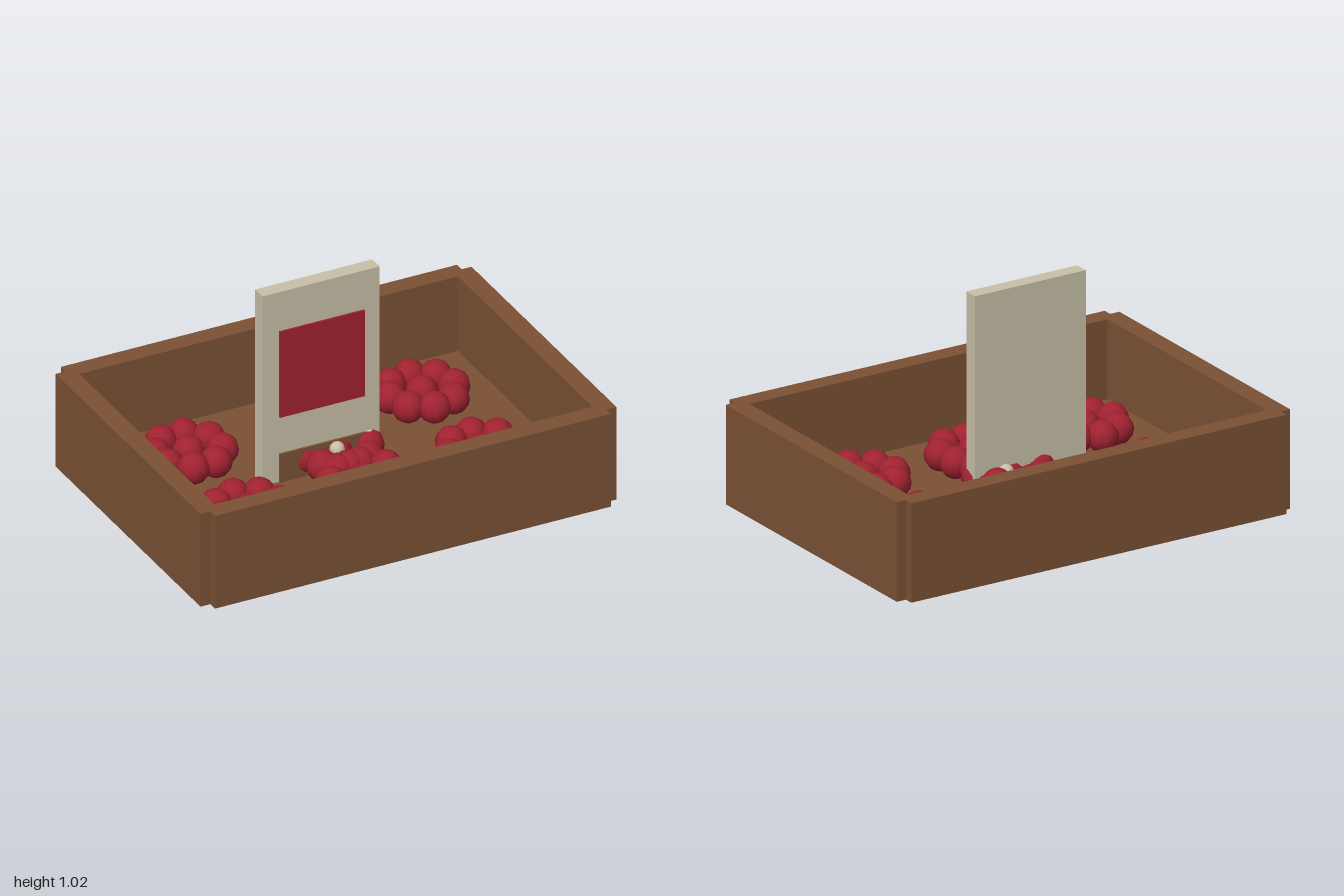
import * as THREE from 'three';

const mat = (name, color) => {
  const m = new THREE.MeshStandardMaterial({ color });
  m.name = name;
  return m;
};

export function createModel() {
  const wood = mat('brown wood', 0x7b5134);
  const red = mat('berry red', 0xa02230);
  const cream = mat('cream', 0xc9c0a9);
  const model = new THREE.Group();
  model.name = 'planterCrate';

  // Box given by its minimum and maximum corners
  const box = (name, material, [x0, y0, z0], [x1, y1, z1], parent = model) => {
    const mesh = new THREE.Mesh(new THREE.BoxGeometry(x1 - x0, y1 - y0, z1 - z0), material);
    mesh.position.set((x0 + x1) / 2, (y0 + y1) / 2, (z0 + z1) / 2);
    mesh.name = name;
    parent.add(mesh);
  };

  // Crate: floor and four walls, with notched corners
  const crate = new THREE.Group();
  crate.name = 'crate';
  model.add(crate);
  const height = 0.457;
  box('floor', wood, [-0.92, 0.002, -0.64], [0.92, 0.09, 0.64], crate);
  box('frontWall', wood, [-0.953, 0, 0.628], [0.953, height, 0.718], crate);
  box('backWall', wood, [-0.953, 0, -0.718], [0.953, height, -0.628], crate);
  box('leftWall', wood, [0.91, 0, -0.675], [1, height, 0.675], crate);
  box('rightWall', wood, [-1, 0, -0.675], [-0.91, height, 0.675], crate);

  // Upright sign with two plates on its front
  const sign = new THREE.Group();
  sign.name = 'sign';
  model.add(sign);
  box('signBoard', cream, [-0.363, 0, -0.05], [0.2, 1.025, 0.018], sign);
  box('redPlate', red, [-0.283, 0.41, 0.018], [0.125, 0.833, 0.0275], sign);
  box('brownPlate', wood, [-0.283, 0.09, 0.018], [0.125, 0.23, 0.0275], sign);

  // Flower heads: one ball in the middle and a ring of eight around it
  const ball = new THREE.SphereGeometry(0.072, 10, 8);
  const flower = (x, z, phase) => {
    const g = new THREE.Group();
    g.name = 'flowerHead';
    g.position.set(x, 0.16, z);
    for (let i = 0; i < 9; i++) {
      const petal = new THREE.Mesh(ball, red);
      petal.name = i ? 'petalBall' : 'centreBall';
      const a = phase + (i * Math.PI) / 4;
      if (i) petal.position.set(0.147 * Math.cos(a), 0, 0.147 * Math.sin(a));
      g.add(petal);
    }
    model.add(g);
  };
  [
    [-0.563, -0.285, 0.33], [-0.003, -0.285, 0.2], [0.56, -0.285, 0.1],
    [-0.563, 0.277, 0], [-0.003, 0.277, 0.33], [0.56, 0.277, 0.15],
    [0.003, -0.005, 0.1],
  ].forEach((f) => flower(...f));

  // Small pale buds among the middle flower head
  const bud = new THREE.SphereGeometry(0.034, 10, 8);
  [[0.06, -0.08], [-0.02, 0.05], [0.15, 0.01]].forEach(([x, z]) => {
    const mesh = new THREE.Mesh(bud, cream);
    mesh.name = 'bud';
    mesh.position.set(x, 0.2, z);
    model.add(mesh);
  });

  return model;
}
